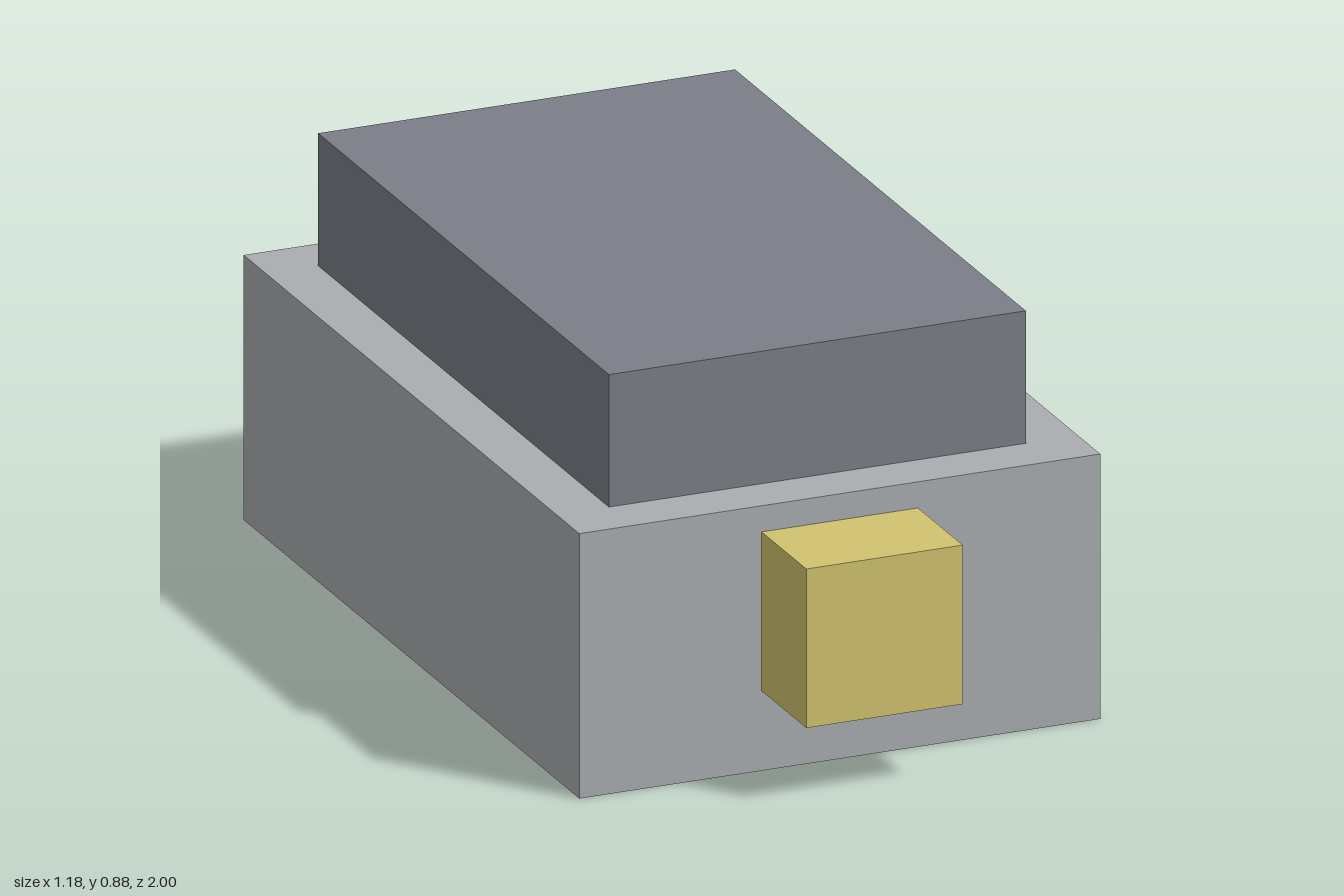
import * as THREE from 'three';

// Box given by its size, the height of its underside and its z centre
function block(name, color, [w, h, d], bottom, z) {
  const mesh = new THREE.Mesh(
    new THREE.BoxGeometry(w, h, d),
    new THREE.MeshStandardMaterial({ color })
  );
  mesh.name = name;
  mesh.position.set(0, bottom + h / 2, z);
  return mesh;
}

export function createModel() {
  const model = new THREE.Group();
  model.name = 'steppedBlock';
  model.add(
    // Wide lower body, standing on the ground
    block('base', 0xaaadb0, [1.176, 0.588, 1.765], 0, -0.1175),
    // Narrower slab centred on the base
    block('upperBlock', 0x7b7e87, [0.941, 0.294, 1.529], 0.588, -0.1175),
    // Small block projecting from the front face
    block('frontBlock', 0xd2c36f, [0.353, 0.353, 0.235], 0.177, 0.8825)
  );
  return model;
}
